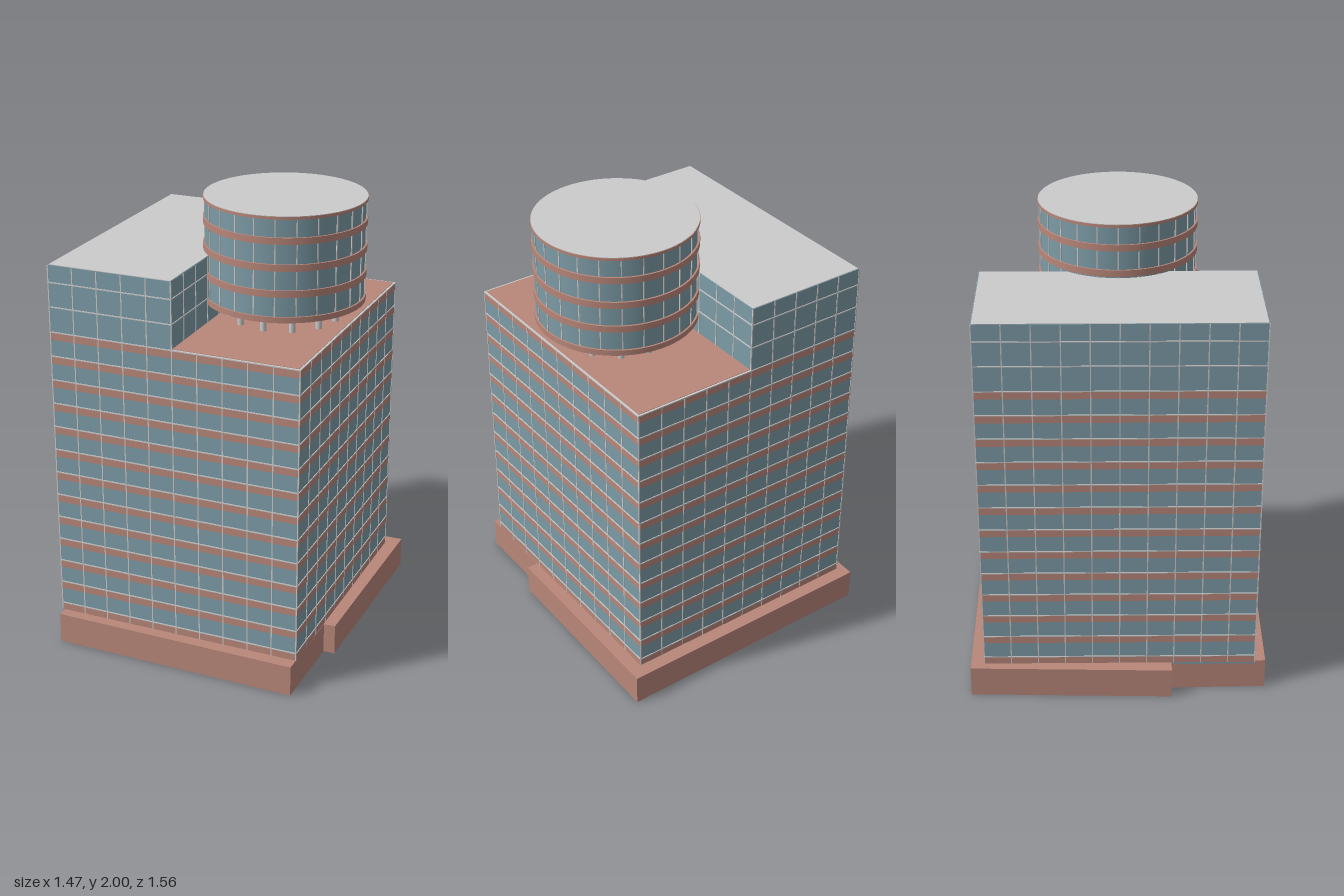
import * as THREE from 'three';

const BRICK = new THREE.MeshStandardMaterial({ color: 0xb9877a });
const GLASS = new THREE.MeshStandardMaterial({ color: 0x7d9ca7 });
const GREY = new THREE.MeshStandardMaterial({ color: 0xcccccc });

const BASE_TOP = 0.138, TERRACE = 1.466, ROOF = 1.76;
const FLOOR = 0.1076, FLOORS = 13, BAND = 0.036;
const W = 1.123, D = 1.186;

function add(parent, name, geometry, material, x = 0, y = 0, z = 0) {
  const mesh = new THREE.Mesh(geometry, material);
  mesh.name = name;
  mesh.position.set(x, y, z);
  parent.add(mesh);
  return mesh;
}

// Box given by its bottom and top heights
function slab(parent, name, material, w, d, y0, y1, x = 0, z = 0) {
  return add(parent, name, new THREE.BoxGeometry(w, y1 - y0, d), material, x, (y0 + y1) / 2, z);
}

// Thin upright bars around a rectangular block
function mullions(parent, w, d, nx, nz, y0, y1, cx = 0) {
  const t = 0.005;
  for (let i = 0; i <= nx; i++) {
    const x = cx - w / 2 + (w * i) / nx;
    for (const s of [-1, 1]) slab(parent, 'mullion', GREY, t, t, y0, y1, x, (s * d) / 2);
  }
  for (let i = 1; i < nz; i++) {
    const z = -d / 2 + (d * i) / nz;
    for (const s of [-1, 1]) slab(parent, 'mullion', GREY, t, t, y0, y1, cx + (s * w) / 2, z);
  }
}

function createPodium() {
  // Stepped plinth outline as x, z corners
  const outline = [
    [-0.454, -0.781], [0.732, -0.474], [0.491, 0.408], [0.441, 0.396],
    [0.338, 0.777], [-0.736, 0.483], [-0.638, 0.08], [-0.702, 0.064],
  ].map(([x, z]) => new THREE.Vector2(x, z));
  const geometry = new THREE.ExtrudeGeometry(new THREE.Shape(outline), { depth: BASE_TOP, bevelEnabled: false });
  geometry.rotateX(Math.PI / 2).translate(0, BASE_TOP, 0);
  const mesh = new THREE.Mesh(geometry, BRICK);
  mesh.name = 'podium';
  return mesh;
}

function createTower() {
  const tower = new THREE.Group();
  tower.name = 'tower';
  tower.position.set(-0.0395, 0, 0.002);
  tower.rotation.y = THREE.MathUtils.degToRad(-14.7);

  // Main glass block with one brick band and one pale rail per floor
  slab(tower, 'towerGlass', GLASS, W, D, BASE_TOP - 0.01, TERRACE - 0.002);
  for (let i = 0; i < FLOORS; i++) {
    const top = BASE_TOP + BAND + i * FLOOR;
    slab(tower, 'floorBand', BRICK, W + 0.003, D + 0.003, top - BAND, top - 0.002);
    slab(tower, 'floorRail', GREY, W + 0.006, D + 0.006, top - 0.004, top + 0.001);
  }
  mullions(tower, W, D, 10, 10, BASE_TOP, TERRACE);
  slab(tower, 'terrace', BRICK, W - 0.012, D - 0.012, TERRACE - 0.01, TERRACE + 0.002);

  // Taller half on the right
  const w = W / 2, cx = -W / 4;
  slab(tower, 'upperGlass', GLASS, w, D, TERRACE, ROOF - 0.002, cx);
  for (let i = 0; i < 2; i++) {
    const y = 1.575 + i * FLOOR;
    slab(tower, 'upperRail', GREY, w + 0.006, D + 0.006, y - 0.0025, y + 0.0025, cx);
  }
  mullions(tower, w, D, 5, 10, TERRACE, ROOF - 0.004, cx);
  slab(tower, 'upperRoof', GREY, w - 0.006, D - 0.006, ROOF - 0.01, ROOF, cx);
  return tower;
}

function createDrum() {
  const drum = new THREE.Group();
  drum.name = 'drum';
  drum.position.set(0.209, 0, 0.068);
  const R = 0.348, bottom = 1.547, top = 2;
  const disc = (name, material, r, y0, y1) =>
    add(drum, name, new THREE.CylinderGeometry(r, r, y1 - y0, 64), material, 0, (y0 + y1) / 2, 0);

  disc('drumGlass', GLASS, R - 0.008, bottom + 0.005, top - 0.005);
  const bands = [[bottom, 1.572], [1.657, 1.686], [1.768, 1.797], [1.882, 1.91], [1.986, 1.998]];
  for (const [y0, y1] of bands) disc('drumBand', BRICK, R, y0, y1);
  disc('drumRoof', GREY, R - 0.002, 1.99, top);

  // Upright bars between the windows
  for (let i = 0; i < 24; i++) {
    const a = (i / 24) * Math.PI * 2;
    const bar = slab(drum, 'drumMullion', GREY, 0.005, 0.006, bottom + 0.01, top - 0.01,
      Math.sin(a) * (R - 0.007), Math.cos(a) * (R - 0.007));
    bar.rotation.y = a;
  }

  // Ring of columns carrying the drum above the terrace
  for (let i = 0; i < 12; i++) {
    const a = ((i + 0.5) / 12) * Math.PI * 2;
    add(drum, 'column', new THREE.CylinderGeometry(0.014, 0.014, bottom - TERRACE + 0.01, 16), GREY,
      Math.cos(a) * 0.235, (bottom + TERRACE) / 2, Math.sin(a) * 0.235);
  }
  return drum;
}

export function createModel() {
  const model = new THREE.Group();
  model.name = 'officeTower';
  model.add(createPodium(), createTower(), createDrum());
  return model;
}
